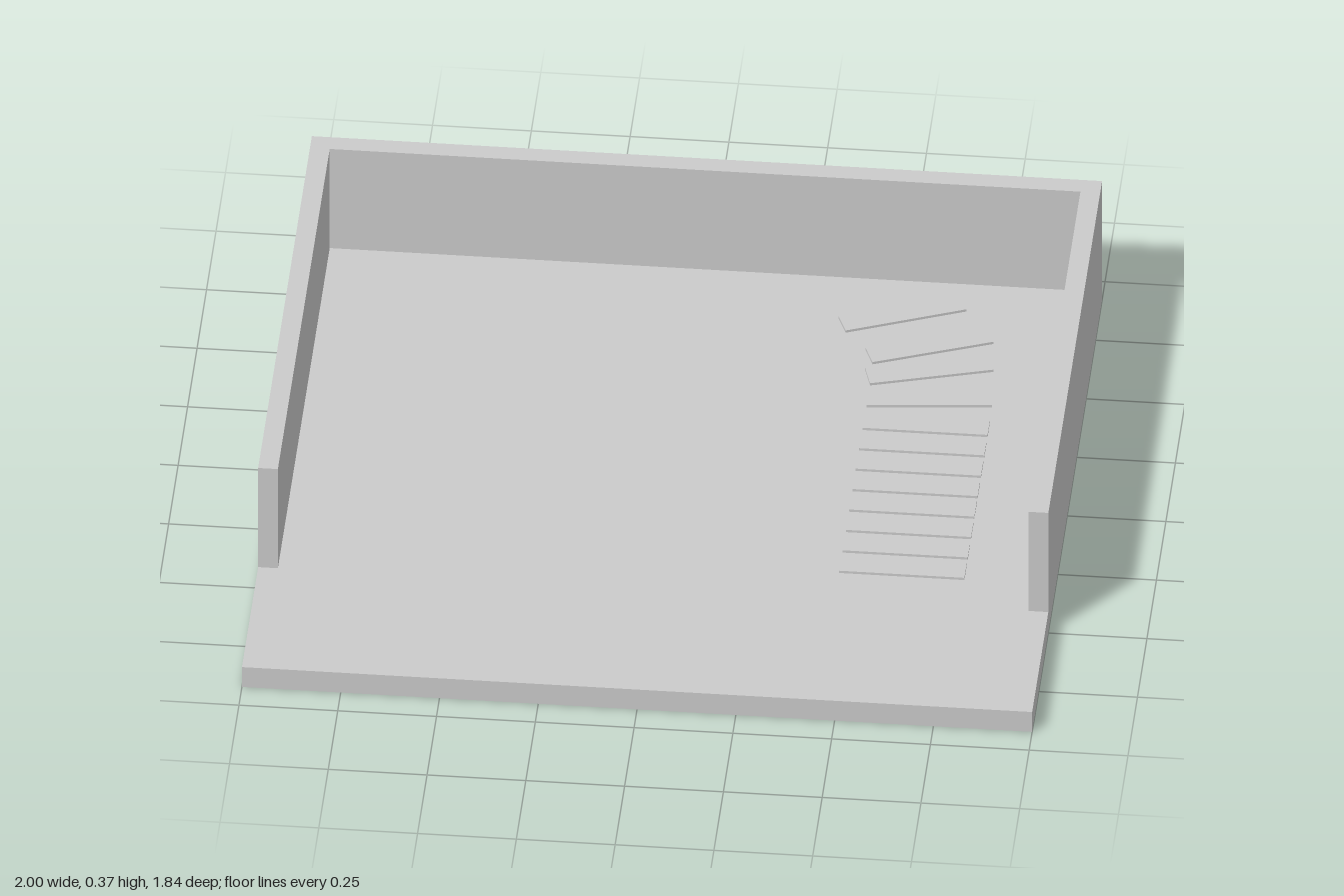
import * as THREE from 'three';

const HALF_W = 1, HALF_D = 0.922;
const FLOOR = 0.062, TOP = 0.372, WALL = 0.05, WALL_FRONT = 0.495;

export function createModel() {
  const group = new THREE.Group();
  const grey = new THREE.MeshStandardMaterial({ color: 0xcccccc, flatShading: true });
  const greyOpen = grey.clone();
  greyOpen.side = THREE.DoubleSide;

  const add = (name, geometry, material, parent = group) => {
    const mesh = new THREE.Mesh(geometry, material);
    mesh.name = name;
    parent.add(mesh);
    return mesh;
  };

  // Base slab: a thin shell, open underneath (the box's bottom face is dropped)
  const slab = new THREE.BoxGeometry(2 * HALF_W, FLOOR, 2 * HALF_D);
  const index = Array.from(slab.index.array);
  index.splice(18, 6);
  slab.setIndex(index);
  slab.clearGroups();
  add('base', slab, greyOpen).position.y = FLOOR / 2;

  // U-shaped wall around the back and both sides (shape y is -z)
  const inX = HALF_W - WALL, inY = HALF_D - WALL;
  const plan = new THREE.Shape([
    [-HALF_W, -WALL_FRONT], [-inX, -WALL_FRONT], [-inX, inY], [inX, inY],
    [inX, -WALL_FRONT], [HALF_W, -WALL_FRONT], [HALF_W, HALF_D], [-HALF_W, HALF_D],
  ].map(([x, y]) => new THREE.Vector2(x, y)));
  const walls = new THREE.ExtrudeGeometry(plan, { depth: TOP - FLOOR, bevelEnabled: false });
  walls.rotateX(-Math.PI / 2);
  add('walls', walls, grey).position.y = FLOOR;

  // Path of thin slabs: a straight run, then a few turning at the back
  const path = new THREE.Group();
  path.name = 'path';
  group.add(path);
  const stones = [];
  for (let i = 0; i < 8; i++) stones.push([0.618, 0.347 - i * 0.0872, 0]);
  stones.push([0.615, -0.375, 5.5], [0.604, -0.496, 16], [0.594, -0.599, 21.3], [0.513, -0.728, 22]);
  const stone = new THREE.BoxGeometry(0.317, 0.007, 0.066);
  for (const [x, z, degrees] of stones) {
    const mesh = add('pathSlab', stone, grey, path);
    mesh.position.set(x, FLOOR + 0.0035, z);
    mesh.rotation.y = THREE.MathUtils.degToRad(degrees);
  }

  return group;
}
